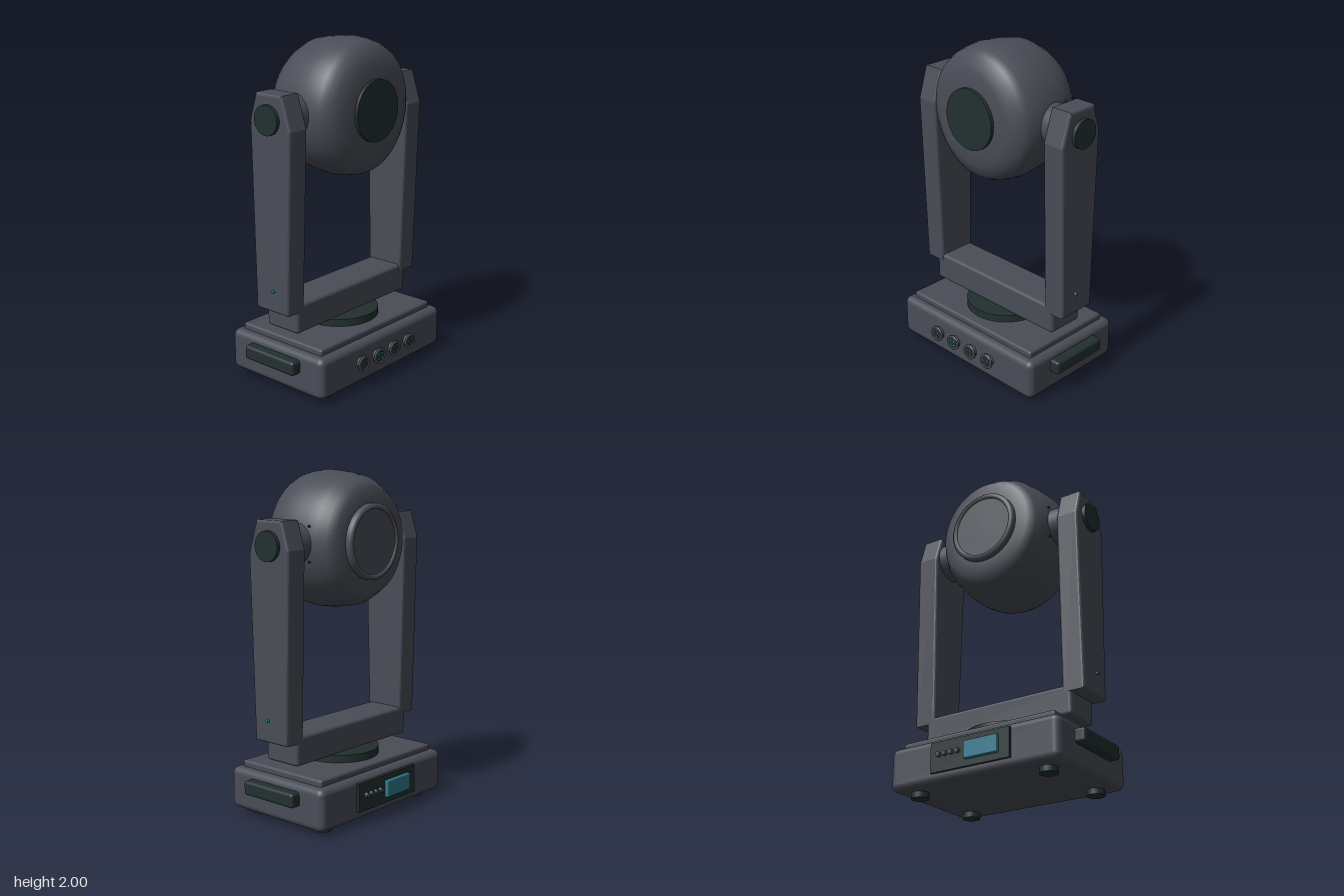
import * as THREE from 'three';
import { RoundedBoxGeometry } from 'three/addons/geometries/RoundedBoxGeometry.js';

export function createModel() {
  const model = new THREE.Group();
  const mat = (name, color) => {
    const m = new THREE.MeshStandardMaterial({ color });
    m.name = name;
    return m;
  };
  const grey = mat('bodyGrey', 0x4a4d57);
  const dark = mat('darkTrim', 0x22302f);
  const teal = mat('tealDisplay', 0x2f7a8e);

  const add = (name, geo, material, x, y, z, parent = model) => {
    const m = new THREE.Mesh(geo, material);
    m.name = name;
    m.position.set(x, y, z);
    parent.add(m);
    return m;
  };
  const box = (w, h, d, r) => new RoundedBoxGeometry(w, h, d, 3, r);
  const cylY = (r, h, n = 32) => new THREE.CylinderGeometry(r, r, h, n);
  const cylX = (r, h, n = 32) => cylY(r, h, n).rotateZ(Math.PI / 2);
  const cylZ = (r, h, n = 32) => cylY(r, h, n).rotateX(Math.PI / 2);
  // Profile of [radius, z] points, turned around the z axis
  const latheZ = (pts, n = 64) =>
    new THREE.LatheGeometry(pts.map(([r, z]) => new THREE.Vector2(r, z)), n).rotateX(Math.PI / 2);

  // Base with raised lid, feet and turntable
  add('baseHousing', box(1.1, 0.25, 0.72, 0.04), grey, 0, 0.158, 0);
  add('baseLid', box(1.0, 0.08, 0.62, 0.015), grey, 0, 0.28, 0);
  for (const x of [-0.42, 0.42])
    for (const z of [-0.245, 0.245]) add('foot', cylY(0.052, 0.05, 24), dark, x, 0.025, z);
  add('turntable', cylY(0.24, 0.05, 48), dark, 0, 0.34, 0);

  // Carrying handles
  for (const s of [-1, 1]) add('handle', box(0.09, 0.085, 0.385, 0.018), dark, s * 0.565, 0.2, 0);

  // Front connector sockets
  [-0.215, -0.072, 0.072, 0.215].forEach((x, i) => {
    const socket = new THREE.Group();
    socket.name = 'connector';
    socket.position.set(x, 0.165, 0.36);
    model.add(socket);
    add('connectorBody', cylZ(0.037, 0.03, 24), grey, 0, 0, 0.01, socket);
    add('connectorRim', latheZ([
      [0.036, 0.016], [0.047, 0.02], [0.047, 0.03], [0.037, 0.03], [0.035, 0.024]
    ], 24), grey, 0, 0, 0, socket);
    add('connectorFace', cylZ(0.036, 0.003, 24), dark, 0, 0, 0.0255, socket);
    const pins = i === 1 || i === 2 ? 4 : 3;
    for (let k = 0; k < pins; k++) {
      const a = (k / pins) * Math.PI * 2 + Math.PI / 4;
      add('connectorPin', cylZ(0.007, 0.006, 10), i === 1 ? teal : grey,
        0.02 * Math.cos(a), 0.02 * Math.sin(a), 0.028, socket);
    }
  });

  // Rear control panel
  add('controlPanel', new THREE.BoxGeometry(0.515, 0.17, 0.03), dark, -0.003, 0.17, -0.362);
  add('display', box(0.215, 0.1, 0.03, 0.006), teal, -0.085, 0.172, -0.385);
  for (let i = 0; i < 4; i++)
    add('button', cylZ(0.014, 0.03, 16), grey, 0.07 + i * 0.041, 0.18, -0.385);

  // Yoke crossbar
  add('yokeCrossbar', box(0.98, 0.175, 0.24, 0.02), grey, 0, 0.443, 0);

  // Yoke arms: side outline in z and y, extruded across x
  const bevel = 0.015;
  const outline = new THREE.Shape([
    [0.125, 0.49], [0.158, 1.55], [0.098, 1.74], [-0.095, 1.74], [-0.143, 1.58], [-0.12, 0.49]
  ].map(([z, y]) => new THREE.Vector2(z, y)));
  const armGeo = new THREE.ExtrudeGeometry(outline, {
    depth: 0.14 - 2 * bevel, bevelEnabled: true, bevelThickness: bevel,
    bevelSize: bevel, bevelOffset: -bevel, bevelSegments: 3
  });
  armGeo.translate(0, 0, -0.07 + bevel).rotateY(-Math.PI / 2);
  for (const s of [-1, 1]) {
    add('yokeArm', armGeo, grey, s * 0.504, 0, 0);
    add('pivotCap', cylX(0.085, 0.05, 40), dark, s * 0.572, 1.6, 0);
    add('statusLight', cylX(0.01, 0.02, 12), teal, s * 0.578, 0.62, 0.02);
    add('tiltHub', cylX(0.118, 0.17, 40), grey, s * 0.36, 1.6, 0);
    // Screws around the tilt hub
    for (let k = 0; k < 4; k++) {
      const a = (k + 0.5) * Math.PI / 2;
      add('hubScrew', cylX(0.007, 0.03, 8), dark, s * 0.35,
        1.6 + 0.14 * Math.sin(a), 0.14 * Math.cos(a));
    }
  }

  // Lamp head
  const head = new THREE.Group();
  head.name = 'lampHead';
  head.position.y = 1.6;
  model.add(head);
  const shell = latheZ([
    [0.2, -0.243], [0.305, -0.242], [0.34, -0.195], [0.372, -0.14], [0.386, -0.07], [0.395, 0],
    [0.4, 0.07], [0.393, 0.13], [0.382, 0.18], [0.363, 0.22], [0.32, 0.246], [0.265, 0.272], [0.17, 0.275]
  ]).scale(0.965, 1, 1);
  add('headShell', shell, grey, 0, 0, 0, head);
  add('lensBezel', cylZ(0.178, 0.05, 64), dark, 0, 0, 0.27, head);
  // Rear cover with raised rim
  add('rearRim', latheZ([
    [0.185, -0.268], [0.19, -0.28], [0.205, -0.28], [0.218, -0.27], [0.218, -0.23]
  ]), grey, 0, 0, 0, head);
  add('rearCover', cylZ(0.19, 0.04, 64), grey, 0, 0, -0.25, head);

  return model;
}
